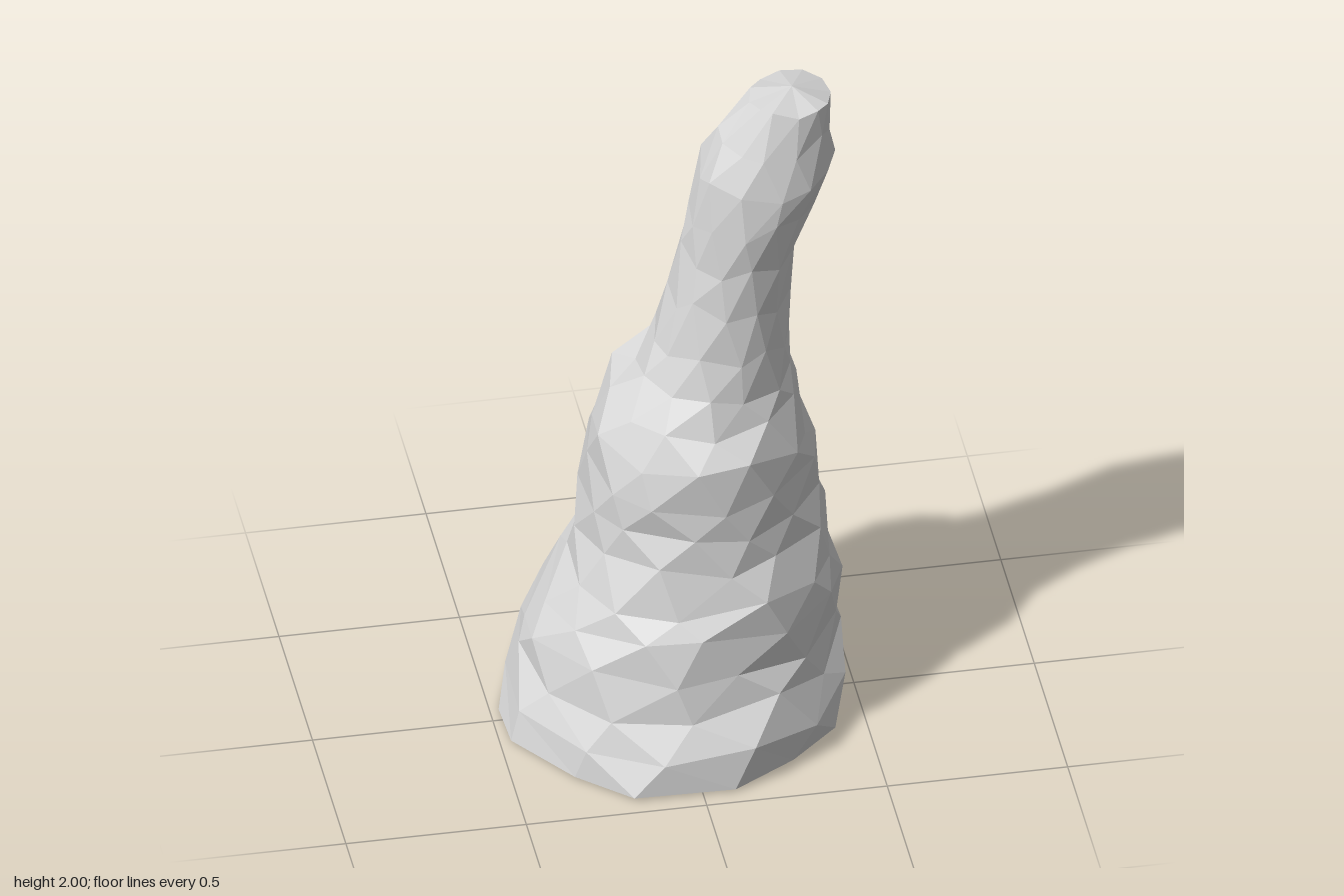
import * as THREE from 'three';

// Outline of the foot: x, z
const FOOT = [
  [0.44, 0], [0.41, 0.21], [0.27, 0.34], [0.09, 0.45], [-0.19, 0.445], [-0.33, 0.31],
  [-0.47, 0.11], [-0.475, -0.05], [-0.36, -0.37], [-0.09, -0.43], [0.1, -0.42], [0.33, -0.27],
];
const SIDES = FOOT.length;

// Height, left/right limits in x, back/front limits in z
const RINGS = [
  [0.11, -0.455, 0.465, -0.455, 0.45],
  [0.20, -0.425, 0.455, -0.43, 0.395],
  [0.30, -0.415, 0.445, -0.41, 0.365],
  [0.41, -0.36, 0.47, -0.38, 0.345],
  [0.50, -0.30, 0.45, -0.37, 0.325],
  [0.60, -0.265, 0.43, -0.365, 0.28],
  [0.70, -0.255, 0.415, -0.365, 0.265],
  [0.81, -0.24, 0.40, -0.36, 0.265],
  [0.92, -0.215, 0.38, -0.345, 0.27],
  [1.02, -0.17, 0.345, -0.31, 0.22],
  [1.11, -0.095, 0.335, -0.26, 0.18],
  [1.21, -0.05, 0.335, -0.24, 0.155],
  [1.35, -0.01, 0.335, -0.22, 0.145],
  [1.49, 0.025, 0.345, -0.205, 0.145],
  [1.62, 0.045, 0.39, -0.21, 0.155],
  [1.75, 0.07, 0.445, -0.18, 0.155],
  [1.86, 0.13, 0.43, -0.15, 0.13],
  [1.97, 0.21, 0.44, -0.125, 0.10],
];

// Small repeatable random numbers
function makeRandom(seed) {
  return () => {
    seed = (seed * 16807) % 2147483647;
    return seed / 2147483647;
  };
}

function rockGeometry() {
  const random = makeRandom(4711);
  const positions = [];
  const indices = [];
  const last = RINGS.length;

  // Flat foot
  FOOT.forEach(([x, z]) => positions.push(x, 0.01 * random(), z));

  // Irregular rings, each staggered by half a side
  RINGS.forEach(([y, x0, x1, z0, z1], i) => {
    const rough = i === last - 1 ? 0.3 : 1;
    for (let s = 0; s < SIDES; s++) {
      const stagger = i % 2 === 0 ? 0.5 : 0;
      const a = ((s + stagger + (random() - 0.5) * 0.4) / SIDES) * Math.PI * 2;
      // Blunt corner at the back, fading upwards
      const corner = 0.08 * Math.exp(-(((a - 3.94) / 0.3) ** 2)) * Math.max(0, 1 - y / 0.4);
      const k = 0.995 + (random() - 0.5) * 0.06 * rough + corner;
      positions.push(
        (x0 + x1) / 2 + Math.cos(a) * k * (x1 - x0) / 2,
        y + (random() - 0.5) * 0.06 * rough,
        (z0 + z1) / 2 + Math.sin(a) * k * (z1 - z0) / 2
      );
    }
  });

  // Sides, with diagonals following the stagger
  for (let r = 0; r < last; r++) {
    for (let s = 0; s < SIDES; s++) {
      const n = (s + 1) % SIDES;
      const a = r * SIDES + s, b = r * SIDES + n;
      const c = a + SIDES, d = b + SIDES;
      if (r % 2 === 0) indices.push(a, c, b, b, c, d);
      else indices.push(a, c, d, a, d, b);
    }
  }

  // Base and blunt tip
  const base = positions.length / 3;
  positions.push(0, 0, 0, 0.33, 2, -0.01);
  for (let s = 0; s < SIDES; s++) {
    const n = (s + 1) % SIDES;
    indices.push(base, s, n);
    indices.push(base + 1, last * SIDES + n, last * SIDES + s);
  }

  const geometry = new THREE.BufferGeometry();
  geometry.setAttribute('position', new THREE.Float32BufferAttribute(positions, 3));
  geometry.setIndex(indices);
  const faceted = geometry.toNonIndexed();
  faceted.computeVertexNormals();
  return faceted;
}

export function createModel() {
  const group = new THREE.Group();
  group.name = 'leaningRock';
  const stone = new THREE.MeshStandardMaterial({ color: 0xd6d6d6 });
  stone.name = 'pale grey stone';
  stone.flatShading = true;
  const rock = new THREE.Mesh(rockGeometry(), stone);
  rock.name = 'rockSpire';
  group.add(rock);
  return group;
}
